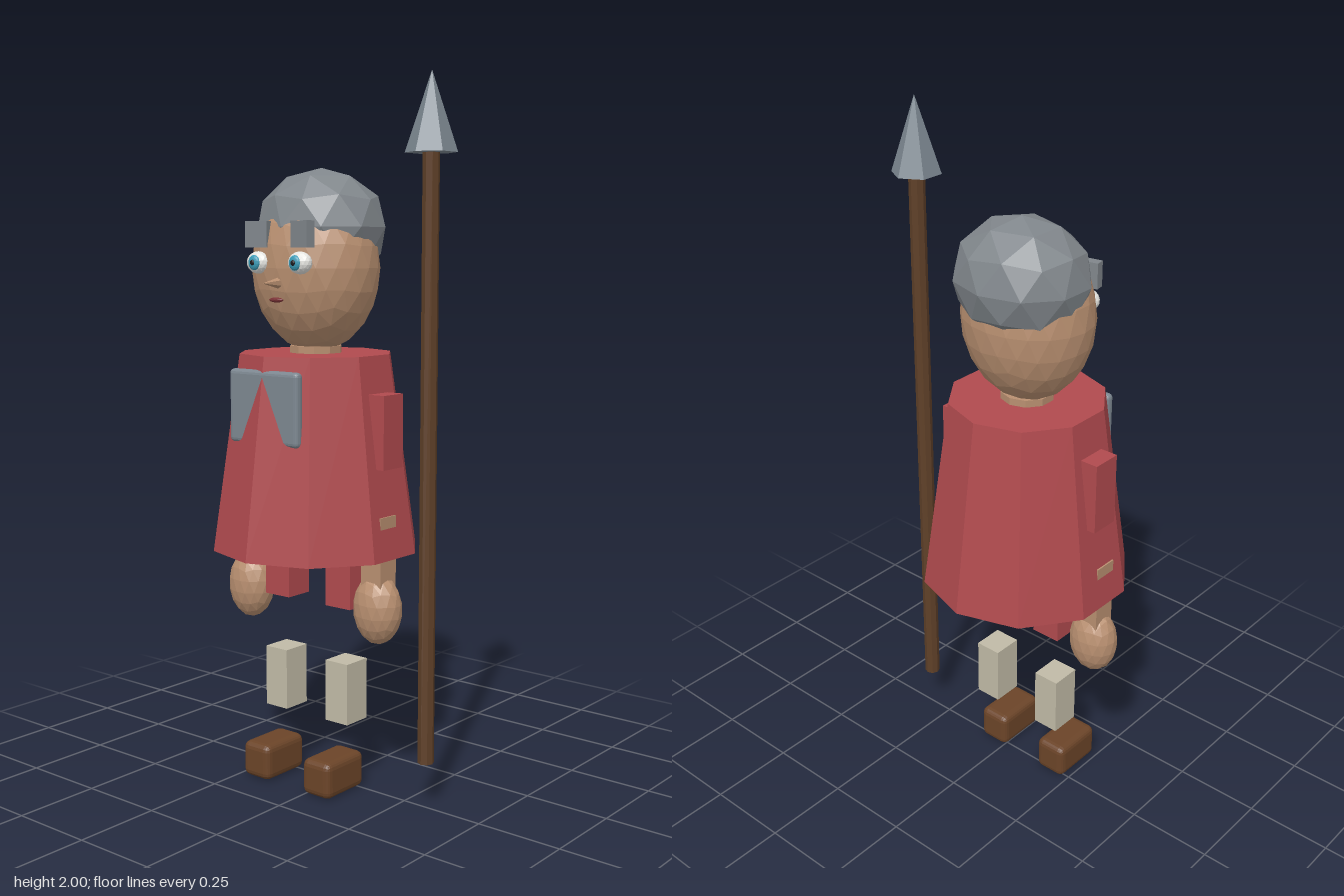
import * as THREE from 'three';
import { RoundedBoxGeometry } from 'three/addons/geometries/RoundedBoxGeometry.js';

const CX = -0.073; // centre line of the figure

const mat = (color) => new THREE.MeshStandardMaterial({ color, flatShading: true });

export function createModel() {
  const model = new THREE.Group();
  model.name = 'spearGuard';

  const red = mat(0xb04a4e), skin = mat(0xb88f70), hairGrey = mat(0x80868b);
  const steel = mat(0x7c8790), wood = mat(0x5f4028), leather = mat(0x6b4428);
  const cloth = mat(0xc0baa6), white = mat(0xe4e4e0), blue = mat(0x3a9cb8);
  const dark = mat(0x1c1c20), lip = mat(0x7a3236);

  const add = (name, geometry, material, x, y, z, parent = model) => {
    const mesh = new THREE.Mesh(geometry, material);
    mesh.name = name;
    mesh.position.set(x, y, z);
    parent.add(mesh);
    return mesh;
  };
  const box = (w, h, d) => new THREE.BoxGeometry(w, h, d);
  // faceted ellipsoid with a corner at its top
  const blob = (rx, ry, rz, detail) =>
    new THREE.IcosahedronGeometry(1, detail).rotateZ(-0.5536).scale(rx, ry, rz);

  // figure, built around its own centre line
  const figure = new THREE.Group();
  figure.name = 'figure';
  figure.position.x = CX;
  model.add(figure);

  // robe and clasp plate
  add('robe', new THREE.CylinderGeometry(0.22, 0.3, 0.56, 10), red, 0, 0.97, 0, figure);
  add('chestPlate', new RoundedBoxGeometry(0.25, 0.205, 0.03, 2, 0.013), steel, 0, 1.11, 0.213, figure);

  // head
  add('neck', new THREE.CylinderGeometry(0.075, 0.075, 0.1, 10), skin, 0, 1.22, 0, figure);
  add('head', blob(0.191, 0.237, 0.166, 3), skin, 0, 1.488, 0, figure);
  add('hair', blob(0.195, 0.165, 0.173, 1), hairGrey, 0, 1.6, -0.026, figure);
  add('nose', new THREE.ConeGeometry(0.018, 0.075, 6).rotateX(Math.PI / 2), skin, 0, 1.448, 0.185, figure);
  add('mouth', blob(0.026, 0.007, 0.008, 1), lip, 0, 1.402, 0.167, figure);

  // paired parts: s = 1 is the model's left
  for (const s of [-1, 1]) {
    const side = s > 0 ? 'left' : 'right';
    const pair = (name, geometry, material, x, y, z) =>
      add(side + name, geometry, material, s * x, y, z, figure);

    pair('Eye', blob(0.038, 0.031, 0.025, 2), white, 0.076, 1.503, 0.155);
    pair('Iris', blob(0.02, 0.021, 0.009, 2), blue, 0.074, 1.503, 0.175);
    pair('Pupil', blob(0.008, 0.008, 0.004, 1), dark, 0.074, 1.503, 0.183);
    const brow = pair('Eyebrow', box(0.07, 0.072, 0.028), hairGrey, 0.08, 1.58, 0.15);
    brow.rotation.y = -s * 0.19;

    pair('UpperArm', box(0.086, 0.205, 0.087), red, 0.233, 1.044, -0.001);
    pair('Forearm', box(0.068, 0.21, 0.07), skin, 0.2395, 0.705, 0.016);
    pair('Hand', blob(0.074, 0.101, 0.06, 2), skin, 0.2385, 0.545, 0.018);

    pair('UpperLeg', box(0.09, 0.2, 0.09), red, 0.114, 0.632, -0.003);
    pair('Shin', box(0.08, 0.178, 0.09), cloth, 0.114, 0.284, 0.003);
    pair('Shoe', new RoundedBoxGeometry(0.1, 0.105, 0.165, 2, 0.02), leather, 0.114, 0.0525, 0.062);
  }

  // spear
  const spear = new THREE.Group();
  spear.name = 'spear';
  spear.position.x = 0.322;
  model.add(spear);
  add('spearShaft', new THREE.CylinderGeometry(0.023, 0.023, 1.66, 8), wood, 0, 0.96, 0, spear);
  add('spearHead', new THREE.ConeGeometry(0.07, 0.21, 6), steel, 0, 1.895, 0, spear);

  return model;
}
